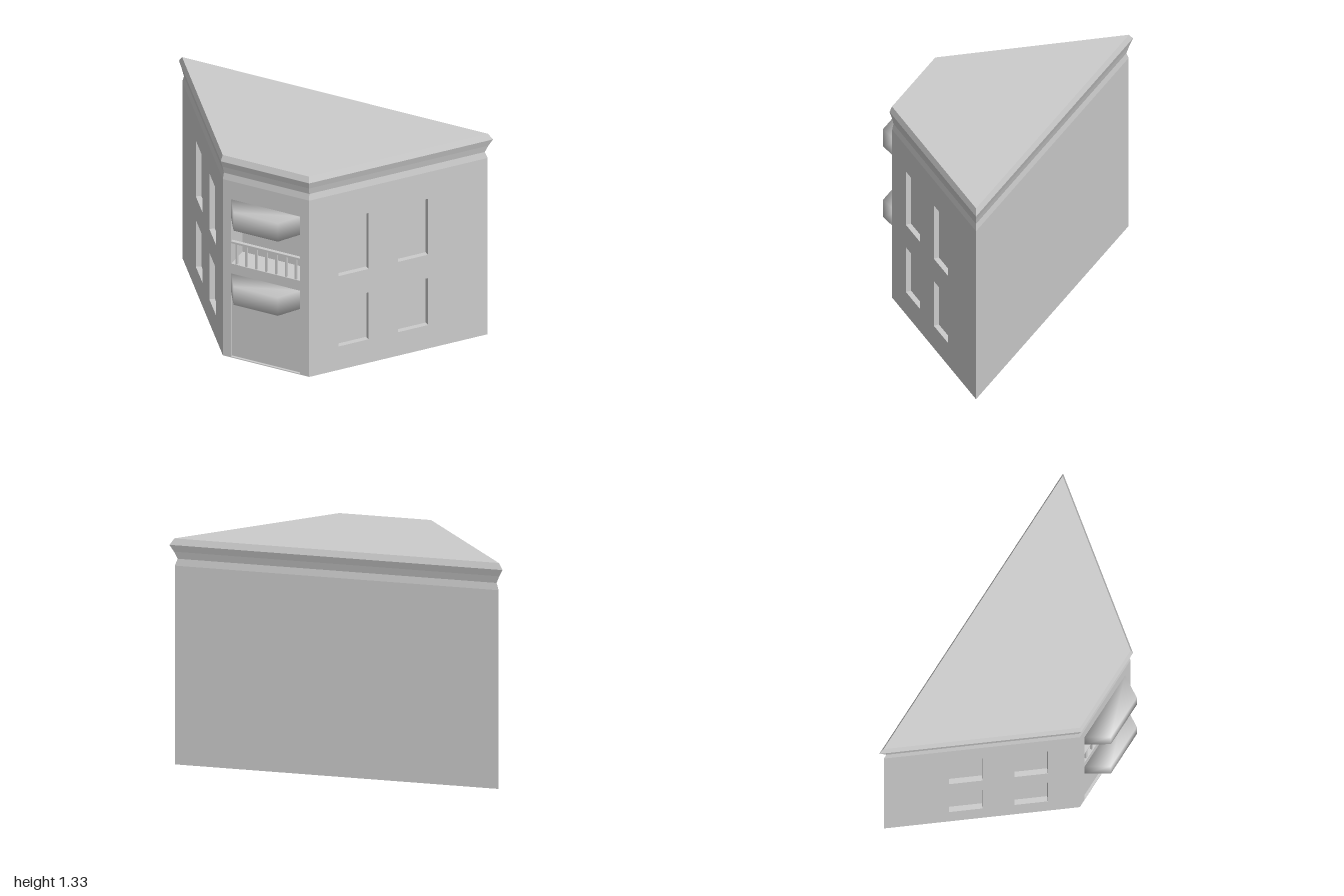
import * as THREE from 'three';
import { mergeVertices } from 'three/addons/utils/BufferGeometryUtils.js';

const EAVES = 1.165;
const FRONT_X = 0.275, FRONT_Z = 0.385, BACK_X = 0.972, BACK_Z = -0.499;
const SIDE = Math.hypot(BACK_X - FRONT_X, FRONT_Z - BACK_Z);

const mat = new THREE.MeshStandardMaterial({ color: 0xcccccc });
const flat = new THREE.MeshStandardMaterial({ color: 0xcccccc, flatShading: true });

function add(parent, name, geometry, material = mat) {
  const mesh = new THREE.Mesh(geometry, material);
  mesh.name = name;
  parent.add(mesh);
  return mesh;
}

// Plan corners pushed outwards by d with mitred corners, counter-clockwise from above
function ring(d, y) {
  const angle = Math.atan2(FRONT_Z - BACK_Z, BACK_X - FRONT_X);
  const fx = FRONT_X + d * Math.tan(angle / 2), bx = BACK_X + d / Math.tan(angle / 2);
  const fz = FRONT_Z + d, bz = BACK_Z - d;
  return [[-fx, y, fz], [fx, y, fz], [bx, y, bz], [-bx, y, bz]];
}

function quads(list) {
  const pos = [];
  for (const [a, b, c, d] of list) pos.push(...a, ...b, ...c, ...a, ...c, ...d);
  const g = new THREE.BufferGeometry();
  g.setAttribute('position', new THREE.Float32BufferAttribute(pos, 3));
  g.computeVertexNormals();
  return g;
}

// Inward-facing box without its front face
function nicheGeometry(w, h, d) {
  const g = new THREE.BoxGeometry(w, h, d);
  const source = Array.from(g.index.array), index = [];
  for (let i = 0; i < source.length; i += 3) {
    if (i >= 24 && i < 30) continue;
    index.push(source[i], source[i + 2], source[i + 1]);
  }
  g.setIndex(index);
  g.clearGroups();
  const n = g.attributes.normal;
  for (let i = 0; i < n.count; i++) n.setXYZ(i, -n.getX(i), -n.getY(i), -n.getZ(i));
  return g;
}

// Wall from plan point a to b (left to right seen from outside) with recessed openings
function wall(name, a, b, openings = []) {
  const group = new THREE.Group();
  group.name = name;
  const dx = b[0] - a[0], dz = b[1] - a[1], length = Math.hypot(dx, dz);
  const shape = new THREE.Shape();
  shape.moveTo(0, 0).lineTo(length, 0).lineTo(length, EAVES).lineTo(0, EAVES).closePath();
  for (const o of openings) {
    const hole = new THREE.Path();
    hole.moveTo(o.u0, o.y0).lineTo(o.u0, o.y1).lineTo(o.u1, o.y1).lineTo(o.u1, o.y0).closePath();
    shape.holes.push(hole);
    const recess = add(group, o.name, nicheGeometry(o.u1 - o.u0, o.y1 - o.y0, o.depth));
    recess.position.set((o.u0 + o.u1) / 2, (o.y0 + o.y1) / 2, -o.depth / 2);
  }
  add(group, 'wallFace', new THREE.ShapeGeometry(shape));
  group.position.set(a[0], 0, a[1]);
  group.rotation.y = Math.atan2(-dz, dx);
  return group;
}

// Awning: box narrowed towards the front, with normals smoothed over all edges
function awningGeometry() {
  const g = new THREE.BoxGeometry(0.44, 0.12, 0.127);
  const p = g.attributes.position;
  for (let i = 0; i < p.count; i++) if (p.getZ(i) > 0) p.setX(i, p.getX(i) * 0.64);
  g.deleteAttribute('normal');
  g.deleteAttribute('uv');
  const smooth = mergeVertices(g);
  smooth.computeVertexNormals();
  return smooth;
}

export function createModel() {
  const model = new THREE.Group();
  model.name = 'cornerBuilding';

  // Side walls with two storeys of windows
  const windows = [];
  for (const [y0, y1] of [[0.155, 0.465], [0.62, 0.99]])
    for (const u0 of [0.184, 0.559])
      windows.push({ name: 'window', u0, u1: u0 + 0.191, y0, y1, depth: 0.032 });
  const mirrored = windows.map(w => ({ ...w, u0: SIDE - w.u1, u1: SIDE - w.u0 }));
  const fl = [-FRONT_X, FRONT_Z], fr = [FRONT_X, FRONT_Z];
  const bl = [-BACK_X, BACK_Z], br = [BACK_X, BACK_Z];
  model.add(wall('leftWall', fr, br, windows));
  model.add(wall('rightWall', bl, fl, mirrored));
  model.add(wall('backWall', br, bl));

  // Front wall with entrance and deep balcony
  const u0 = FRONT_X - 0.223, u1 = FRONT_X + 0.217;
  model.add(wall('frontWall', fl, fr, [
    { name: 'entrance', u0, u1, y0: 0.005, y1: 0.55, depth: 0.015 },
    { name: 'balcony', u0, u1, y0: 0.62, y1: 1.04, depth: 0.15 },
  ]));

  // Cornice running round all four sides
  const profile = [[0, EAVES], [-0.007, 1.205], [0.002, 1.247], [0.0135, 1.288], [0.001, 1.325]];
  const bands = [];
  for (let k = 0; k < profile.length - 1; k++) {
    const lo = ring(...profile[k]), hi = ring(...profile[k + 1]);
    for (let i = 0; i < 4; i++) {
      const j = (i + 1) % 4;
      bands.push([lo[i], lo[j], hi[j], hi[i]]);
    }
  }
  add(model, 'cornice', quads(bands), flat);
  add(model, 'roof', quads([ring(...profile[4])]), flat);
  add(model, 'base', quads([ring(0, 0).reverse()]), flat);

  // Awnings over the entrance and the balcony
  for (const y of [0.495, 0.985])
    add(model, 'awning', awningGeometry()).position.set(-0.003, y, FRONT_Z + 0.0635);

  // Balcony railing
  const railing = new THREE.Group();
  railing.name = 'balconyRailing';
  railing.position.set(-0.003, 0, FRONT_Z - 0.012);
  add(railing, 'handrail', new THREE.BoxGeometry(0.44, 0.012, 0.022)).position.y = 0.76;
  for (let i = -3; i <= 3; i++)
    add(railing, 'baluster', new THREE.BoxGeometry(0.012, 0.135, 0.014)).position.set(i * 0.063, 0.6875, 0);
  model.add(railing);

  return model;
}
